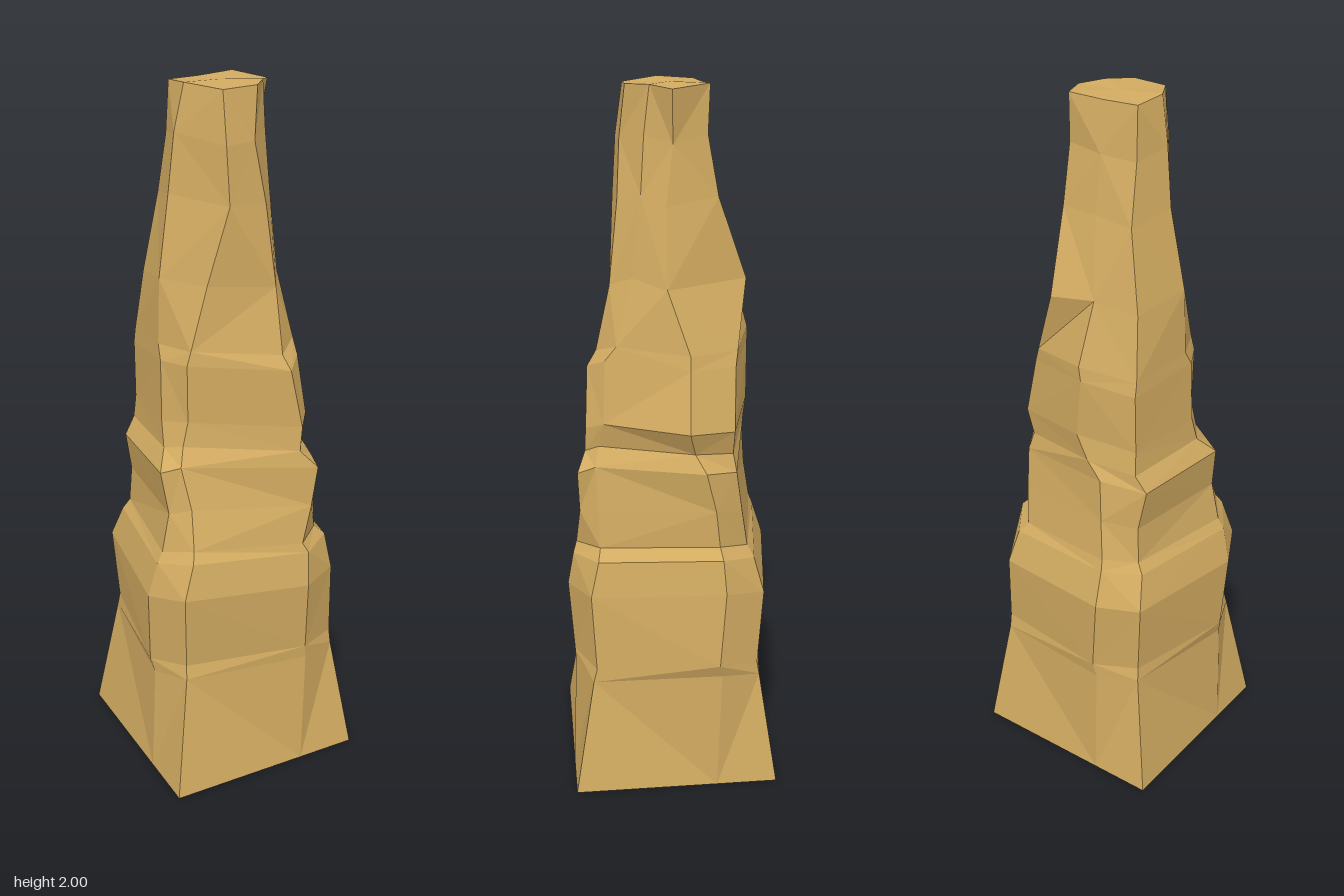
import * as THREE from 'three';

// Lower cross-sections from bottom to top:
// height, left x, right x, back z, front z, side start, side end, inset of side start
const LOWER = [
  [0.00, -0.300, 0.290, -0.290, 0.300, 0.00, 0.70, 0.00],
  [0.35, -0.288, 0.290, -0.285, 0.288, 0.08, 0.72, 0.16],
  [0.39, -0.297, 0.305, -0.290, 0.290, 0.10, 0.70, 0.20],
  [0.61, -0.307, 0.287, -0.305, 0.305, 0.10, 0.72, 0.18],
  [0.71, -0.280, 0.272, -0.272, 0.288, 0.12, 0.74, 0.18],
  [0.74, -0.262, 0.242, -0.260, 0.278, 0.12, 0.74, 0.20],
  [0.85, -0.238, 0.243, -0.240, 0.267, 0.10, 0.74, 0.16],
  [0.97, -0.255, 0.252, -0.230, 0.272, 0.10, 0.70, 0.15],
  [1.02, -0.220, 0.222, -0.226, 0.248, 0.08, 0.63, 0.16],
  [1.09, -0.215, 0.255, -0.227, 0.245, 0.10, 0.59, 0.16],
  [1.26, -0.212, 0.206, -0.230, 0.236, 0.10, 0.59, 0.15],
  [1.30, -0.207, 0.197, -0.228, 0.210, 0.12, 0.57, 0.13],
];

// Upper cross-sections: height, then eight x, z corners from the front left
const UPPER = [
  [1.48, [[-0.11, 0.125], [0.075, 0.17], [0.112, 0.11], [0.163, 0.02],
    [0.075, -0.205], [-0.05, -0.18], [-0.168, -0.148], [-0.2, 0.02]]],
  [1.70, [[-0.055, 0.15], [0.055, 0.145], [0.1, 0.085], [0.127, 0.02],
    [0.09, -0.125], [-0.02, -0.13], [-0.13, -0.125], [-0.162, 0.005]]],
  [1.86, [[-0.06, 0.14], [0.025, 0.135], [0.09, 0.075], [0.108, 0],
    [0.088, -0.095], [-0.02, -0.108], [-0.12, -0.09], [-0.145, 0.01]]],
  [1.995, [[-0.06, 0.12], [0.04, 0.12], [0.09, 0.06], [0.135, 0.005],
    [0.085, -0.1], [-0.02, -0.09], [-0.115, -0.08], [-0.12, 0.02]]],
];

// How much deeper each corner is cut above the ledge: front left, front right, back right, back left
const LEDGE_CUT = [3.2, 2.3, 1.8, 0.8];

// Two points per side, running front, right, back, left; uneven sides twist the rock
function lowerRing([y, xl, xr, zb, zf, a, b, inset]) {
  const mix = THREE.MathUtils.lerp;
  const t = THREE.MathUtils.smoothstep(y, 0.7, 1.02);
  const [kf, kr, kb, kl] = LEDGE_CUT.map(cut => 1 - inset * mix(1, cut, t));
  return [y, [
    [mix(xl, xr, a), zf * kf], [mix(xl, xr, b + 0.13 * t), zf],
    [xr * kr, mix(zf, zb, a)], [xr, mix(zf, zb, b)],
    [mix(xr, xl, a), zb * kb], [mix(xr, xl, b), zb],
    [xl * kl, mix(zb, zf, a)], [xl, mix(zb, zf, b)],
  ]];
}

// Uneven ledge heights, level at the base and nearly so at the summit
function place([y, corners]) {
  const wobble = y === 0 ? 0 : y > 1.9 ? 0.005 : 0.014;
  return corners.map(([x, z], i) =>
    new THREE.Vector3(x, y + wobble * Math.sin(i * 2.4 + y * 2), z));
}

function spireGeometry() {
  const rings = [...LOWER.map(lowerRing), ...UPPER].map(place);
  const pos = [];
  const tri = (...pts) => pts.forEach(p => pos.push(p.x, p.y, p.z));
  // Rock faces
  for (let r = 0; r < rings.length - 1; r++) {
    for (let i = 0; i < 8; i++) {
      const j = (i + 1) % 8;
      const a = rings[r][i], b = rings[r][j], c = rings[r + 1][j], d = rings[r + 1][i];
      if ((i + r) % 2) { tri(a, b, c); tri(a, c, d); } else { tri(a, b, d); tri(b, c, d); }
    }
  }
  // Flat base and summit
  const base = new THREE.Vector3(0, 0, 0), summit = new THREE.Vector3(0, 1.996, 0);
  const first = rings[0], last = rings[rings.length - 1];
  for (let i = 0; i < 8; i++) {
    const j = (i + 1) % 8;
    tri(base, first[j], first[i]);
    tri(summit, last[i], last[j]);
  }
  const geo = new THREE.BufferGeometry();
  geo.setAttribute('position', new THREE.Float32BufferAttribute(pos, 3));
  geo.computeVertexNormals();
  return geo;
}

export function createModel() {
  const group = new THREE.Group();
  group.name = 'rockSpire';
  const rock = new THREE.Mesh(spireGeometry(),
    new THREE.MeshStandardMaterial({ color: 0xd2ab61, flatShading: true }));
  rock.name = 'rockColumn';
  group.add(rock);
  return group;
}
